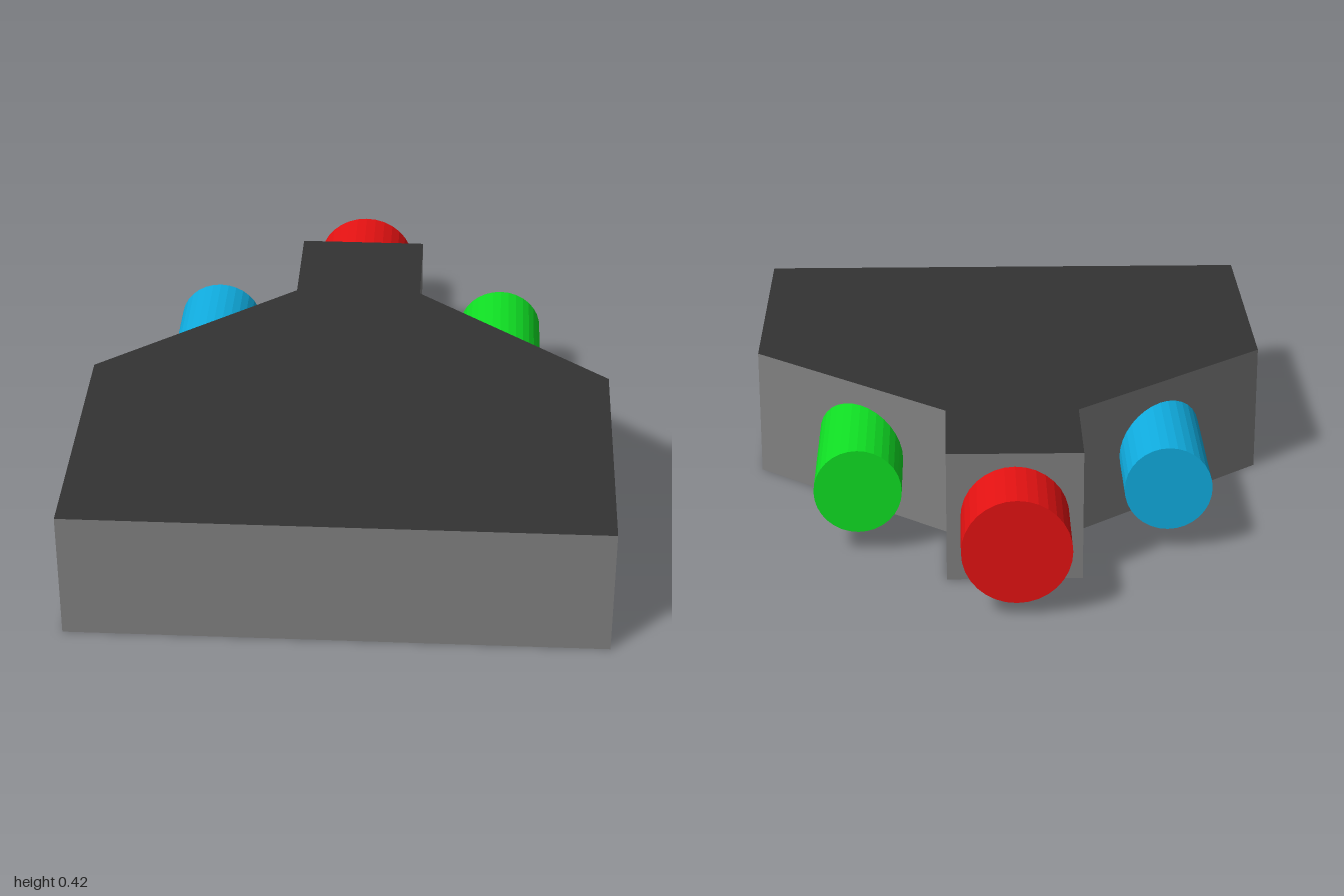
import * as THREE from 'three';

const HEIGHT = 0.42;

function material(name, color) {
  const m = new THREE.MeshStandardMaterial({ color, flatShading: true });
  m.name = name;
  return m;
}

// Round plug running along z from the hidden inner end to the exposed back end
function plug(name, mat, radius, x, zInner, zBack) {
  const geometry = new THREE.CylinderGeometry(radius, radius, zInner - zBack, 32);
  geometry.rotateX(Math.PI / 2);
  const mesh = new THREE.Mesh(geometry, mat);
  mesh.name = name;
  mesh.position.set(x, HEIGHT / 2, (zInner + zBack) / 2);
  return mesh;
}

export function createModel() {
  const model = new THREE.Group();
  model.name = 'connectorBlock';

  const darkGrey = material('dark grey', 0x333333);
  const grey = material('grey', 0x808080);
  const red = material('red', 0xe51212);
  const green = material('green', 0x10e024);
  const blue = material('blue', 0x10ade0);

  // Body outline in plan, right half mirrored (x, -z)
  const half = [[0.835, -1], [0.835, -0.125], [0.21, 0.395], [0.21, 0.745]];
  const outline = [...half, ...half.map(([x, y]) => [-x, y]).reverse()];
  const shape = new THREE.Shape(outline.map(([x, y]) => new THREE.Vector2(x, y)));
  const bodyGeometry = new THREE.ExtrudeGeometry(shape, { depth: HEIGHT, bevelEnabled: false });
  bodyGeometry.rotateX(-Math.PI / 2);

  // Dark top and bottom, lighter walls
  const body = new THREE.Mesh(bodyGeometry, [darkGrey, grey]);
  body.name = 'body';
  model.add(body);

  // Plugs at the back and on the two slanted shoulders
  model.add(plug('backPlug', red, 0.167, 0, -0.7, -1));
  model.add(plug('leftPlug', green, 0.138, 0.487, 0.1, -0.545));
  model.add(plug('rightPlug', blue, 0.138, -0.487, 0.1, -0.545));

  return model;
}
